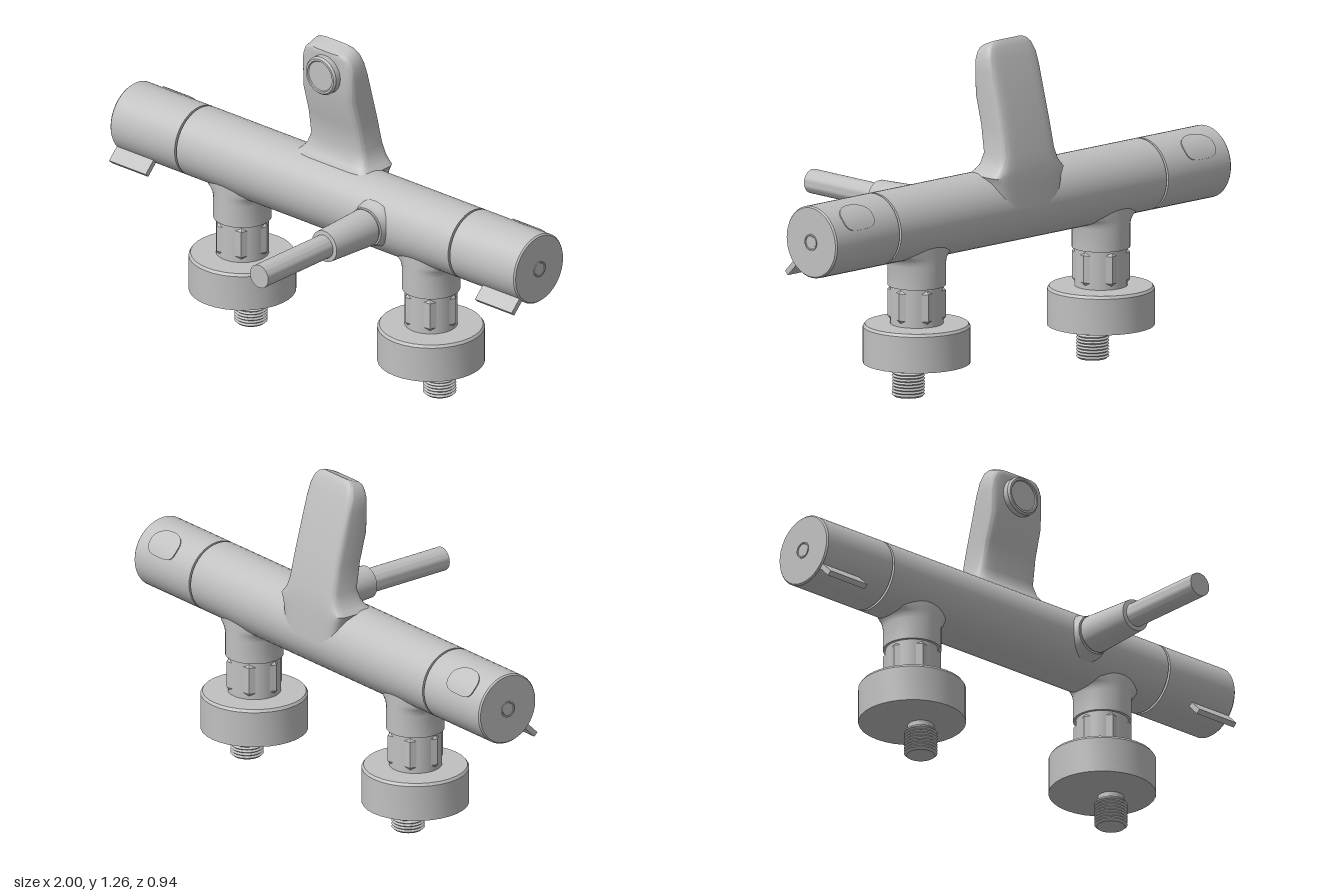
import * as THREE from 'three';
import { toCreasedNormals } from 'three/addons/utils/BufferGeometryUtils.js';

const AXIS_Y = 0.648, AXIS_Z = -0.268, R = 0.134;

export function createModel() {
  const model = new THREE.Group();
  model.name = 'thermostaticMixerTap';
  const chrome = new THREE.MeshStandardMaterial({ color: 0xc0c0c0 });
  chrome.name = 'brushed chrome';

  const add = (name, geometry, x = 0, y = 0, z = 0) => {
    const mesh = new THREE.Mesh(geometry, chrome);
    mesh.name = name;
    mesh.position.set(x, y, z);
    model.add(mesh);
    return mesh;
  };

  // Turned part from [radius, height] pairs, bottom to top
  const turned = (profile, sides = 36) => toCreasedNormals(
    new THREE.LatheGeometry(profile.map(([r, y]) => new THREE.Vector2(r, y)), sides), 0.6);

  // Loft through superellipse sections [yFront, yBack, halfWidth, zFront, zBack]
  const loft = (sections, power, sides = 40) => {
    const pos = [], index = [];
    const bend = v => Math.sign(v) * Math.pow(Math.abs(v), 2 / power);
    for (const [yf, yb, hx, zf, zb] of sections) {
      for (let i = 0; i < sides; i++) {
        const t = i / sides * Math.PI * 2, s = bend(Math.sin(t));
        pos.push(hx * bend(Math.cos(t)), (yf + yb) / 2 + s * (yf - yb) / 2, (zf + zb) / 2 + s * (zf - zb) / 2);
      }
    }
    const last = sections.length - 1, base = sections.length * sides;
    for (const k of [0, last]) {
      const [yf, yb, , zf, zb] = sections[k];
      pos.push(0, (yf + yb) / 2, (zf + zb) / 2);
    }
    for (let i = 0; i < sides; i++) {
      const j = (i + 1) % sides;
      for (let k = 0; k < last; k++) {
        const a = k * sides + i, c = k * sides + j;
        index.push(a, a + sides, c, a + sides, c + sides, c);
      }
      index.push(base, i, j, base + 1, last * sides + j, last * sides + i);
    }
    const g = new THREE.BufferGeometry();
    g.setAttribute('position', new THREE.Float32BufferAttribute(pos, 3));
    g.setIndex(index);
    return toCreasedNormals(g, 0.6);
  };

  // Main bar, its underside slightly fuller between the legs
  const bar = new THREE.CylinderGeometry(R, R, 1.336, 40, 24).rotateZ(Math.PI / 2);
  const p = bar.attributes.position;
  for (let i = 0; i < p.count; i++) {
    const full = 1 - THREE.MathUtils.smoothstep(Math.abs(p.getX(i)), 0.36, 0.57);
    if (p.getY(i) < 0) p.setY(i, p.getY(i) * (1 + 0.08 * full));
  }
  add('mainBar', bar, 0, AXIS_Y, AXIS_Z);
  add('innerCore', new THREE.CylinderGeometry(0.122, 0.122, 1.4, 36).rotateZ(Math.PI / 2), 0, AXIS_Y, AXIS_Z);

  // Raised button wrapped onto the upper rear of a knob
  const wrappedButton = () => {
    const g = new THREE.RingGeometry(0, 1, 36, 5), q = g.attributes.position;
    for (let i = 0; i < q.count; i++) {
      const x = q.getX(i), y = q.getY(i), rho = Math.hypot(x, y), t = Math.atan2(y, x);
      const e = y > 0 ? 0.6 : 1, s = Math.min(rho / 0.8, 1);
      const u = 0.075 * s * Math.sign(Math.cos(t)) * Math.pow(Math.abs(Math.cos(t)), e);
      const v = 0.055 * s * Math.sign(Math.sin(t)) * Math.pow(Math.abs(Math.sin(t)), e);
      const phi = 0.8 + v / R, r = rho > 0.9 ? 0.125 : 0.138;
      q.setXYZ(i, u, r * Math.cos(phi), -r * Math.sin(phi));
    }
    g.computeVertexNormals();
    return toCreasedNormals(g, 0.6);
  };

  for (const side of [-1, 1]) {
    const name = side > 0 ? 'left' : 'right';
    // Control knob with end disc, lever fin and button
    const knob = turned([[0, 0.677], [R, 0.677], [R, 0.99], [0.129, 0.996], [0, 0.996]], 40);
    add(name + 'Knob', knob.rotateZ(-side * Math.PI / 2), 0, AXIS_Y, AXIS_Z);
    const disc = turned([[0.031, 0.99], [0.031, 1], [0.026, 1], [0.024, 0.998], [0, 0.998]], 28);
    add(name + 'KnobEndDisc', disc.rotateZ(-side * Math.PI / 2), 0, AXIS_Y, AXIS_Z);
    const fin = add(name + 'KnobFin', new THREE.BoxGeometry(0.18, 0.08, 0.02),
      side * 0.9, AXIS_Y - 0.154 * Math.SQRT1_2, AXIS_Z + 0.154 * Math.SQRT1_2);
    fin.rotation.x = Math.PI * 0.75;
    add(name + 'KnobButton', wrappedButton(), side * 0.86, AXIS_Y, AXIS_Z);

    // Leg flaring sideways into the bar
    const x = side * 0.464;
    const leg = [[0.41, 0.107], [0.495, 0.107], [0.51, 0.112], [0.522, 0.122], [0.535, 0.142], [0.57, 0.15]]
      .map(([y, hx]) => [y, y, hx, 0.107, -0.107]);
    add(name + 'Leg', loft(leg, 2), x, 0, AXIS_Z);
    add(name + 'LegNeck', new THREE.CylinderGeometry(0.097, 0.097, 0.18, 32), x, 0.34, AXIS_Z);

    // Hexagonal nut with bevelled ends
    const nut = new THREE.LatheGeometry([[0, 0.28], [0.098, 0.28], [0.107, 0.291], [0.107, 0.392], [0.098, 0.403], [0, 0.403]]
      .map(a => new THREE.Vector2(...a)), 6);
    add(name + 'HexNut', toCreasedNormals(nut.rotateY(Math.PI / 2 + 0.17), 0.3), x, 0, AXIS_Z);

    // Wall flange
    add(name + 'Flange', turned([[0, 0.12], [0.197, 0.12], [0.197, 0.255], [0.19, 0.265], [0, 0.268]], 32), x, 0, AXIS_Z);

    // Offset threaded stub
    const thread = [[0, 0], [0.052, 0]];
    for (let i = 0; i < 8; i++) thread.push([0.061, 0.008 + i * 0.0115], [0.054, 0.0138 + i * 0.0115]);
    thread.push([0.054, 0.1], [0.048, 0.102], [0.048, 0.13]);
    add(name + 'ThreadedStub', turned(thread, 28), x + 0.042, 0, AXIS_Z);
  }

  // Upright spout blending into the bar
  add('spout', loft([
    [0.65, 0.65, 0.14, -0.25, -0.402], [0.75, 0.75, 0.165, -0.215, -0.4],
    [0.775, 0.775, 0.178, -0.222, -0.398], [0.79, 0.79, 0.162, -0.235, -0.397],
    [0.81, 0.81, 0.146, -0.246, -0.395], [0.85, 0.85, 0.132, -0.255, -0.389],
    [0.95, 0.95, 0.128, -0.237, -0.368], [1.06, 1.06, 0.126, -0.206, -0.34],
    [1.15, 1.15, 0.125, -0.205, -0.314], [1.19, 1.2, 0.122, -0.205, -0.297],
    [1.215, 1.235, 0.11, -0.205, -0.284], [1.23, 1.252, 0.094, -0.205, -0.274],
    [1.235, 1.26, 0.074, -0.206, -0.266]], 6));

  // Round outlet on the spout face
  add('spoutNozzle', turned([[0.074, -0.02], [0.074, 0.022], [0.068, 0.03], [0.06, 0.03], [0.057, 0.026], [0, 0.026]])
    .rotateX(Math.PI / 2), 0, 1.145, -0.205);

  // Forward hose outlet: collar, tapered sleeve and pipe
  add('hoseOutlet', turned([[0.09, -0.16], [0.082, -0.14], [0.076, -0.13], [0.074, -0.112], [0.066, -0.112],
    [0.066, -0.104], [0.071, -0.104], [0.061, 0.115], [0.045, 0.117], [0.045, 0.47], [0, 0.47]])
    .rotateX(Math.PI / 2), 0.285, 0.65, 0);

  return model;
}
